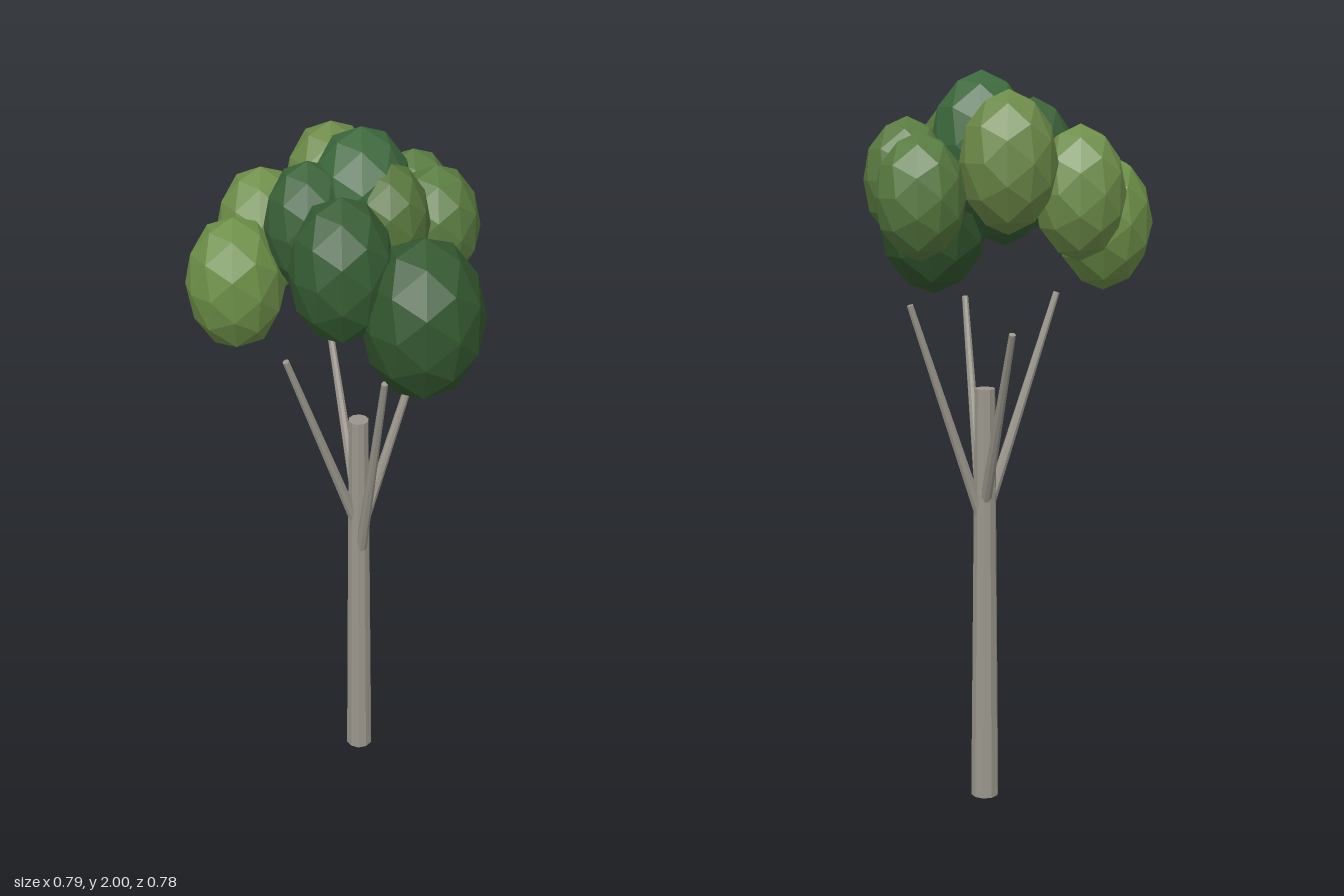
import * as THREE from 'three';

const mat = (color) => new THREE.MeshStandardMaterial({ color, flatShading: true, roughness: 1 });

// Tapered round limb between two points
function limb(name, from, to, rBase, rTip, sides, material) {
  const a = new THREE.Vector3(...from), b = new THREE.Vector3(...to);
  const dir = b.clone().sub(a);
  const mesh = new THREE.Mesh(new THREE.CylinderGeometry(rTip, rBase, dir.length(), sides), material);
  mesh.name = name;
  mesh.position.copy(a).add(b).multiplyScalar(0.5);
  mesh.quaternion.setFromUnitVectors(new THREE.Vector3(0, 1, 0), dir.normalize());
  return mesh;
}

export function createModel() {
  const tree = new THREE.Group();
  tree.name = 'tree';
  const bark = mat(0x9a968c);

  // Trunk
  tree.add(limb('trunk', [0.025, 0, -0.068], [0.025, 1.165, -0.068], 0.039, 0.028, 10, bark));

  // Four thin branches, rooted inside the trunk
  const branches = [
    ['frontBranch', [0.022, 0.75, -0.05], [-0.025, 1.39, 0.135]],
    ['backBranch', [0.027, 0.83, -0.068], [0.083, 1.345, -0.313]],
    ['leftBranch', [0.027, 0.78, -0.068], [0.24, 1.4, -0.052]],
    ['rightBranch', [0.023, 0.81, -0.068], [-0.198, 1.412, -0.068]],
  ];
  for (const [name, from, to] of branches) tree.add(limb(name, from, to, 0.016, 0.009, 8, bark));

  // Faceted leaf clumps: x, y, z, radius, half height, colour
  const clumps = [
    [0.022, 1.605, 0.232, 0.156, 0.215, 0x33572f],
    [-0.13, 1.72, 0.1, 0.132, 0.192, 0x365c33],
    [0.035, 1.81, -0.068, 0.134, 0.19, 0x3c683c],
    [-0.105, 1.76, -0.095, 0.113, 0.172, 0x3b6137],
    [0.06, 1.77, 0.02, 0.105, 0.16, 0x56743b],
    [0.217, 1.72, 0.002, 0.115, 0.163, 0x587a3f],
    [0.28, 1.688, -0.195, 0.115, 0.16, 0x587b41],
    [0.062, 1.77, -0.255, 0.125, 0.18, 0x6c8a48],
    [-0.14, 1.69, -0.27, 0.12, 0.175, 0x6f8f4b],
    [-0.268, 1.607, -0.19, 0.129, 0.18, 0x6d8f48],
  ];
  const foliage = new THREE.Group();
  foliage.name = 'foliage';
  const ball = new THREE.IcosahedronGeometry(1, 1);
  clumps.forEach(([x, y, z, r, h, color], i) => {
    const clump = new THREE.Mesh(ball, mat(color));
    clump.name = `leafClump${i + 1}`;
    clump.position.set(x, y, z);
    clump.scale.set(r, h, r);
    foliage.add(clump);
  });
  tree.add(foliage);
  return tree;
}
